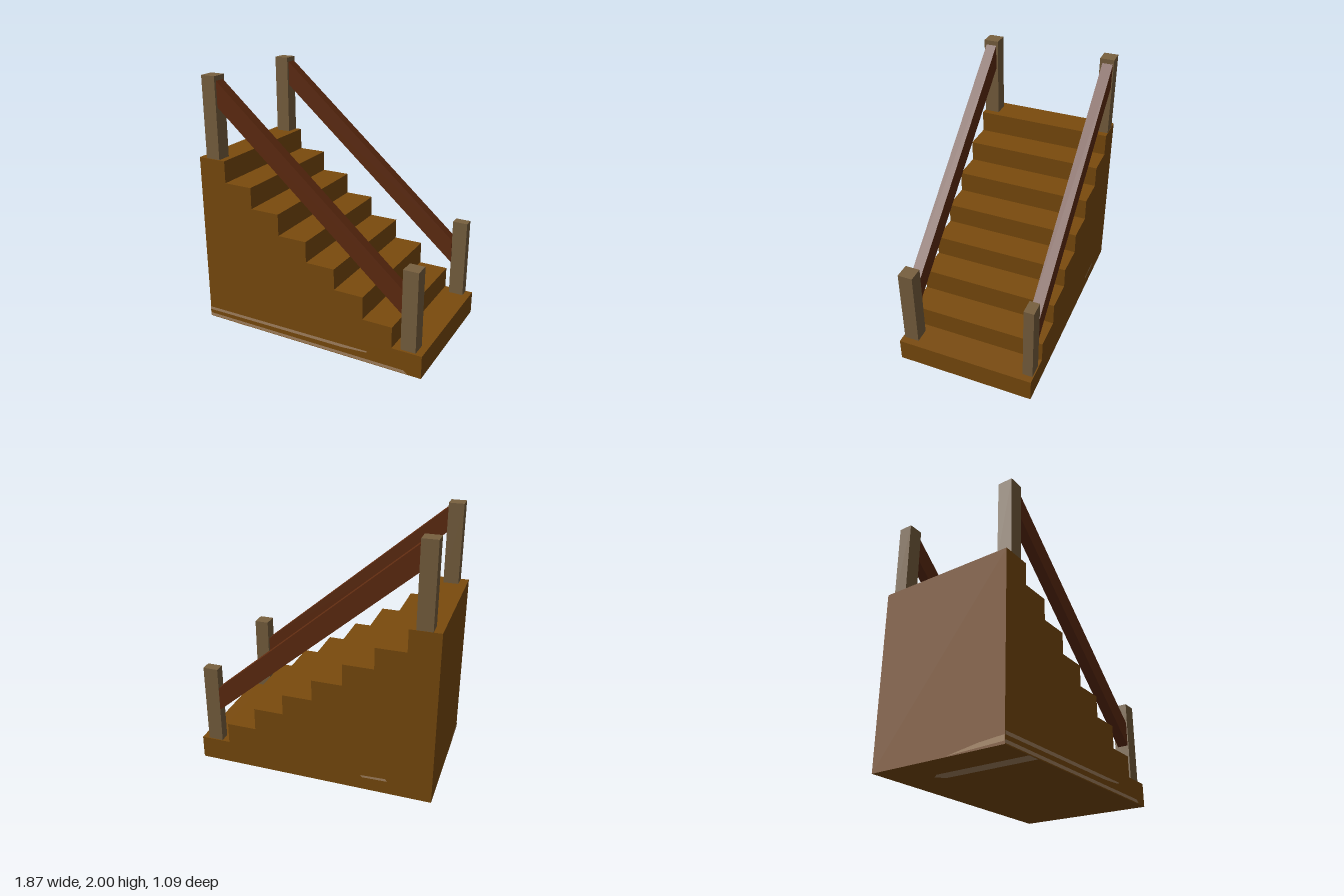
import * as THREE from 'three';

const mat = (name, color, side = THREE.FrontSide) => {
  const m = new THREE.MeshStandardMaterial({ color, side });
  m.name = name;
  return m;
};

// Extrude an xy outline between two z positions
function slab(points, z0, z1) {
  const shape = new THREE.Shape(points.map(([x, y]) => new THREE.Vector2(x, y)));
  const geo = new THREE.ExtrudeGeometry(shape, { depth: z1 - z0, bevelEnabled: false });
  return geo.translate(0, 0, z0);
}

export function createModel() {
  const group = new THREE.Group();
  const wood = mat('stair wood', 0x7a4b0d);
  const postWood = mat('post wood', 0x78603f);
  const railWood = mat('rail wood', 0x5f2b10);
  const scuff = mat('pale scuff', 0xa5835f, THREE.DoubleSide);

  const add = (name, geo, material) => {
    const mesh = new THREE.Mesh(geo, material);
    mesh.name = name;
    group.add(mesh);
    return mesh;
  };

  // Solid staircase, descending towards +x
  const edges = [-0.935, -0.705, -0.475, -0.24, -0.005, 0.23, 0.465, 0.7, 0.935];
  const heights = [1.37, 1.197, 1.03, 0.86, 0.695, 0.53, 0.35, 0.182];
  const outline = [[edges[0], 0]];
  heights.forEach((h, i) => outline.push([edges[i], h], [edges[i + 1], h]));
  outline.push([0.935, 0]);
  add('staircase', slab(outline, -0.543, 0.543), wood);

  // Posts: x range, y range, z range
  const posts = [
    ['upperFrontPost', -0.872, -0.755, 1.37, 2, 0.42, 0.536],
    ['upperBackPost', -0.872, -0.755, 1.37, 2, -0.541, -0.43],
    ['lowerFrontPost', 0.763, 0.88, 0.182, 0.813, 0.41, 0.526],
    ['lowerBackPost', 0.763, 0.88, 0.182, 0.813, -0.535, -0.457],
  ];
  for (const [name, x0, x1, y0, y1, z0, z1] of posts) {
    const geo = new THREE.BoxGeometry(x1 - x0, y1 - y0, z1 - z0);
    geo.translate((x0 + x1) / 2, (y0 + y1) / 2, (z0 + z1) / 2);
    add(name, geo, postWood);
  }

  // Sloping handrails between the posts
  const rail = [[-0.756, 1.77], [0.765, 0.46], [0.765, 0.65], [-0.756, 1.965]];
  add('frontRail', slab(rail, 0.435, 0.518), railWood);
  add('backRail', slab(rail, -0.533, -0.45), railWood);

  // Thin pale scuffs around the foot of the block
  const mark = (name, points) => {
    const shape = new THREE.Shape(points.map(([x, y]) => new THREE.Vector2(x, y)));
    return add(name, new THREE.ShapeGeometry(shape), scuff);
  };
  mark('frontUpperScuff', [[-0.935, 0.06], [0.3, 0.07], [0.5, 0.085], [0.51, 0.097], [-0.935, 0.085]])
    .position.z = 0.546;
  mark('frontLowerScuff', [[-0.935, 0.006], [0.83, 0.006], [0.8, 0.03], [-0.935, 0.03]])
    .position.z = 0.546;
  mark('backScuff', [[-0.6, 0.11], [-0.4, 0.105], [-0.39, 0.122], [-0.58, 0.13]])
    .position.z = -0.546;

  // Scuff on the tall end wall
  const end = mark('endScuff', [[0.1, 0.005], [0.543, 0.02], [0.543, 0.06], [0.35, 0.045]]);
  end.rotation.y = -Math.PI / 2;
  end.position.x = -0.938;

  // Scuff on the underside
  const under = mark('undersideScuff', [[-0.68, 0.543], [-0.58, 0.543], [-0.58, -0.2], [-0.64, -0.25], [-0.68, -0.2]]);
  under.rotation.x = Math.PI / 2;
  under.position.y = -0.002;

  return group;
}
